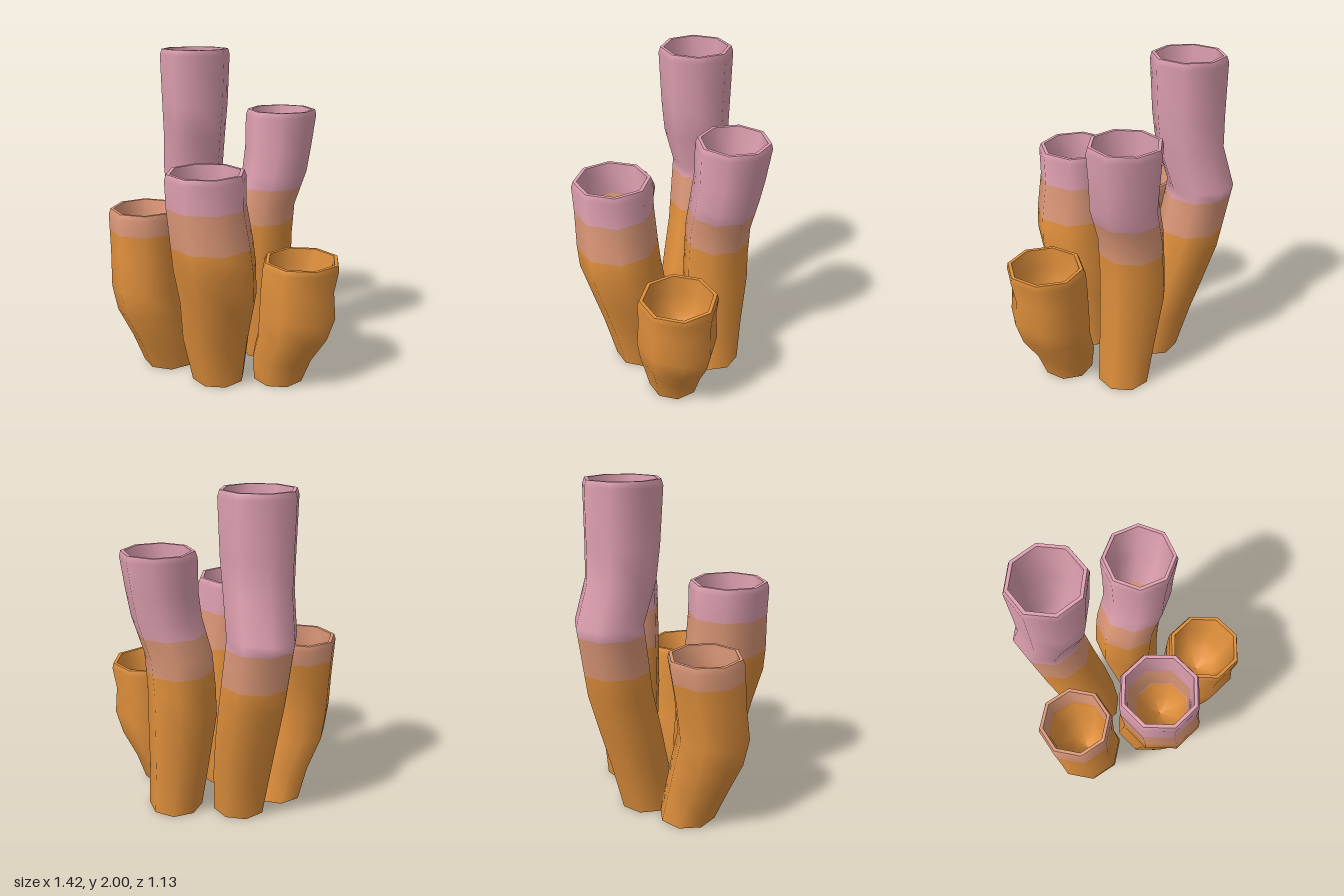
import * as THREE from 'three';

const mat = (name, color) => {
  const m = new THREE.MeshStandardMaterial({ color });
  m.name = name;
  return m;
};

const SIDES = 8;
const LEVELS = [0.93, 1.16]; // heights where the colour changes

// Each tube: turn in degrees and stations [y, centre x, centre z, radius] from base to rim
const TUBES = [
  { name: 'tallTube', turn: 5, path: [
    [0, -0.27, -0.14, 0.165], [0.3, -0.31, -0.18, 0.185], [0.55, -0.355, -0.225, 0.195], [0.8, -0.405, -0.27, 0.2],
    [1.22, -0.467, -0.305, 0.2], [1.46, -0.417, -0.245, 0.203], [1.65, -0.404, -0.235, 0.213], [2, -0.394, -0.226, 0.223]] },
  { name: 'backTube', turn: 20, path: [
    [0, 0.1, -0.3, 0.167], [0.3, 0.07, -0.3, 0.184], [0.64, 0.04, -0.305, 0.207], [0.82, 0.045, -0.302, 0.203],
    [1.03, 0.062, -0.305, 0.2], [1.25, 0.127, -0.323, 0.205], [1.4, 0.14, -0.343, 0.208], [1.64, 0.153, -0.357, 0.22]] },
  { name: 'frontTube', turn: 0, path: [
    [0, -0.005, 0.18, 0.167], [0.29, -0.004, 0.205, 0.213], [0.57, 0.04, 0.25, 0.24], [0.79, 0.045, 0.3, 0.253],
    [0.93, 0.036, 0.313, 0.25], [1.16, 0.006, 0.323, 0.24], [1.36, 0.004, 0.328, 0.242]] },
  { name: 'leftFrontTube', turn: 10, path: [
    [0, -0.404, 0.13, 0.17], [0.2, -0.415, 0.19, 0.193], [0.4, -0.455, 0.25, 0.215], [0.57, -0.468, 0.285, 0.213],
    [0.8, -0.485, 0.262, 0.21], [1.06, -0.492, 0.235, 0.223]] },
  { name: 'shortTube', turn: 0, path: [
    [0, 0.33, 0, 0.16], [0.16, 0.355, 0, 0.195], [0.32, 0.422, 0, 0.226], [0.47, 0.45, 0, 0.246],
    [0.64, 0.446, 0, 0.235], [0.81, 0.47, 0, 0.242]] },
];

// Tapering hollow: [depth as a share of the height, share of the outer radius]
const HOLLOW = [[0, 0.86], [0.15, 0.82], [0.3, 0.7], [0.42, 0.45], [0.48, 0]];

const mix = (a, b, t) => a.map((v, i) => v + (b[i] - v) * t);

function stationAt(path, y) {
  for (let i = 1; i < path.length; i++) {
    if (y <= path[i][0]) return mix(path[i - 1], path[i], (y - path[i - 1][0]) / (path[i][0] - path[i - 1][0]));
  }
  return path[path.length - 1];
}

// Add a ring wherever the wall crosses a colour level
function splitAtLevels(rings) {
  const out = [rings[0]];
  for (let i = 1; i < rings.length; i++) {
    const a = rings[i - 1], b = rings[i];
    const cuts = LEVELS.map((l) => (l - a[0]) / (b[0] - a[0])).filter((t) => t > 0.001 && t < 0.999);
    cuts.sort((p, q) => p - q).forEach((t) => out.push(mix(a, b, t)));
    out.push(b);
  }
  return out;
}

// Skin rings [y, x, z, r]; each row of faces takes the material of its height
function loft(rings, turn) {
  const pos = [], index = [];
  const geo = new THREE.BufferGeometry();
  for (const [y, x, z, r] of rings) {
    for (let j = 0; j < SIDES; j++) {
      const a = (j / SIDES) * Math.PI * 2 + THREE.MathUtils.degToRad(turn);
      pos.push(x + r * Math.cos(a), y, z + r * Math.sin(a));
    }
  }
  for (let i = 0; i < rings.length - 1; i++) {
    const start = index.length;
    for (let j = 0; j < SIDES; j++) {
      const k = (j + 1) % SIDES;
      const a = i * SIDES + j, b = i * SIDES + k, c = a + SIDES, d = b + SIDES;
      if (rings[i][3] > 0) index.push(a, d, b);
      if (rings[i + 1][3] > 0) index.push(a, c, d);
      else if (rings[i][3] > 0) index[index.length - 2] = d;
    }
    const mid = (rings[i][0] + rings[i + 1][0]) / 2;
    geo.addGroup(start, index.length - start, LEVELS.filter((l) => mid > l).length);
  }
  geo.setAttribute('position', new THREE.Float32BufferAttribute(pos, 3));
  geo.setIndex(index);
  geo.computeVertexNormals();
  return geo;
}

export function createModel() {
  const model = new THREE.Group();
  model.name = 'tubeSpongeCluster';
  const orange = mat('orange', 0xe0903c);
  const salmon = mat('salmon', 0xdd9878);
  const pink = mat('pink', 0xdfa0b0);
  const bands = [orange, salmon, pink];

  for (const { name, turn, path } of TUBES) {
    const tube = new THREE.Group();
    tube.name = name;
    const add = (part, rings, materials) => {
      const mesh = new THREE.Mesh(loft(rings, turn), materials);
      mesh.name = part;
      tube.add(mesh);
    };
    const top = path[path.length - 1];
    const h = top[0];
    const scaled = (s, k) => [s[0], s[1], s[2], s[3] * k];
    const lip = scaled(top, 0.95);

    // Outer wall with a small bevel below the rim
    const edge = stationAt(path, h - 0.035);
    edge[3] = top[3];
    add('outerWall', splitAtLevels([...path.slice(0, -1), edge, lip]), bands);

    // Flat rim
    add('rim', [lip, scaled(top, HOLLOW[0][1])], bands);

    // Tapering hollow inside
    const hollow = HOLLOW.map(([depth, k]) => scaled(stationAt(path, h * (1 - depth)), k));
    add('hollow', splitAtLevels(hollow), bands);

    // Underside
    add('base', [scaled(path[0], 0), path[0]], [pink, pink, pink]);
    model.add(tube);
  }
  return model;
}
